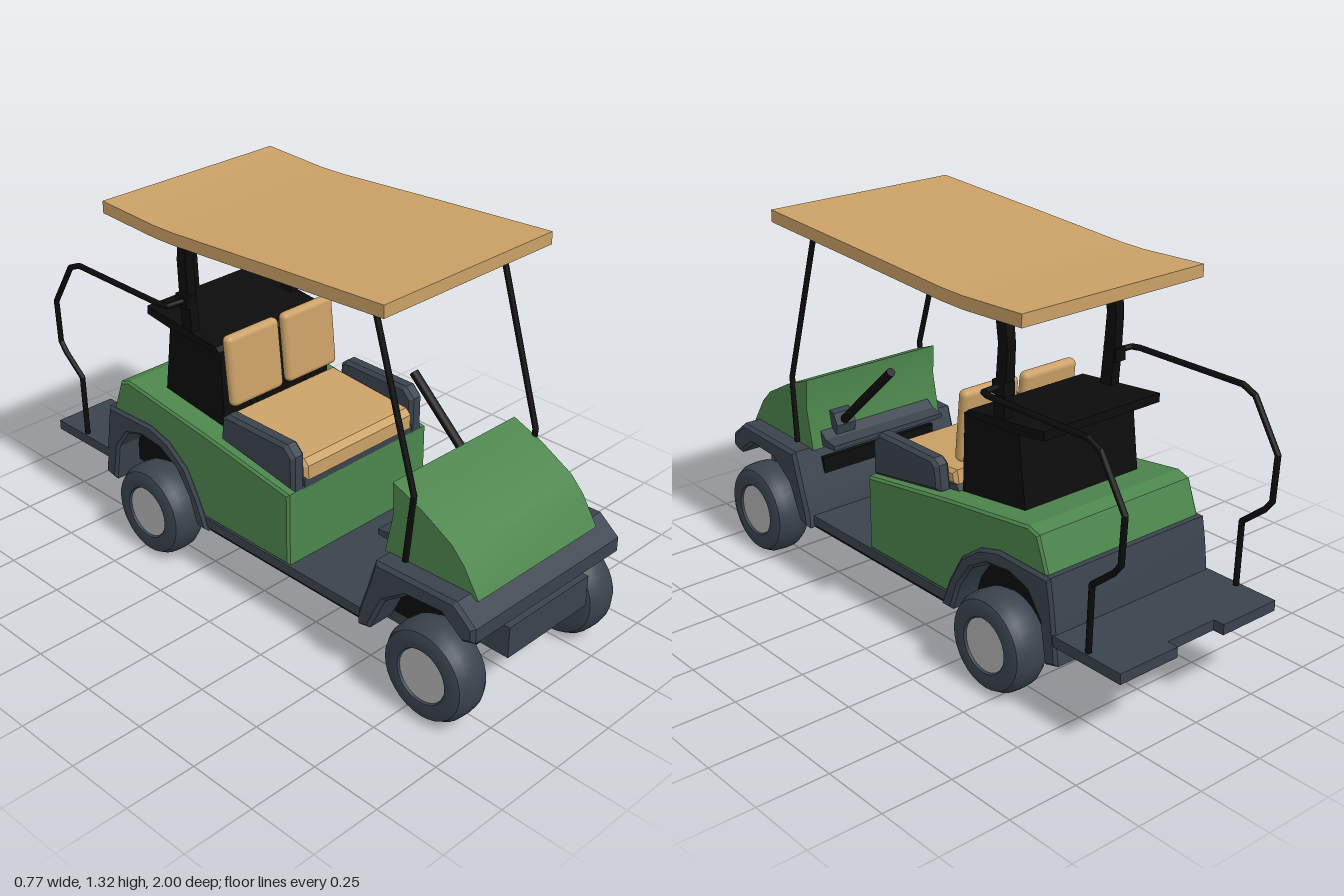
import * as THREE from 'three';
import { toCreasedNormals } from 'three/addons/utils/BufferGeometryUtils.js';
import { RoundedBoxGeometry } from 'three/addons/geometries/RoundedBoxGeometry.js';

const mat = (color) => new THREE.MeshStandardMaterial({ color });
const V = (x, y, z) => new THREE.Vector3(x, y, z);

export function createModel() {
  const model = new THREE.Group();
  const tan = mat(0xcaa066), green = mat(0x4c854c), dark = mat(0x3a434d);
  const black = mat(0x0c0c0c), metal = mat(0xb4b4b4);

  const add = (name, geometry, material, parent = model) => {
    const mesh = new THREE.Mesh(geometry, material);
    mesh.name = name;
    parent.add(mesh);
    return mesh;
  };
  // Side profile of [z, y] points, extruded across x from x0 to x1
  const profile = (name, pts, x0, x1, material, bevel = 0) => {
    const shape = new THREE.Shape(pts.map(([z, y]) => new THREE.Vector2(z, y)));
    const g = new THREE.ExtrudeGeometry(shape, {
      depth: x1 - x0 - 2 * bevel, bevelEnabled: bevel > 0, bevelSize: bevel,
      bevelThickness: bevel, bevelOffset: -bevel, bevelSegments: 1,
    });
    g.rotateY(-Math.PI / 2).translate(x1 - bevel, 0, 0);
    return add(name, toCreasedNormals(g, 0.35), material);
  };
  const box = (name, x0, x1, y0, y1, z0, z1, material) => {
    const g = new THREE.BoxGeometry(x1 - x0, y1 - y0, z1 - z0);
    g.translate((x0 + x1) / 2, (y0 + y1) / 2, (z0 + z1) / 2);
    return add(name, g, material);
  };
  // Round bar through points, with corners kept fairly tight
  const bar = (name, pts, r, material) => {
    const path = new THREE.CurvePath();
    for (let i = 1; i < pts.length; i++) path.add(new THREE.LineCurve3(pts[i - 1], pts[i]));
    pts.slice(1).forEach((b, i) => {
      const a = pts[i], d = b.clone().sub(a);
      const g = new THREE.CylinderGeometry(r, r, d.length(), 10);
      g.applyQuaternion(new THREE.Quaternion().setFromUnitVectors(V(0, 1, 0), d.clone().normalize()));
      g.translate((a.x + b.x) / 2, (a.y + b.y) / 2, (a.z + b.z) / 2);
      add(name, g, material);
      if (i > 0) add(name + 'Joint', new THREE.SphereGeometry(r, 10, 6).translate(a.x, a.y, a.z), material);
    });
  };

  // Wheels: lathed tyre with a recessed hub disc
  const tyrePts = [[0.088, -0.055], [0.095, -0.066], [0.125, -0.07], [0.15, -0.06], [0.164, -0.035],
    [0.167, 0], [0.164, 0.035], [0.15, 0.06], [0.125, 0.07], [0.095, 0.066], [0.088, 0.055]];
  const tyreGeo = toCreasedNormals(
    new THREE.LatheGeometry(tyrePts.map((p) => new THREE.Vector2(...p)), 32), 0.6).rotateZ(-Math.PI / 2);
  const hubGeo = new THREE.CylinderGeometry(0.092, 0.092, 0.118, 32).rotateZ(Math.PI / 2);
  for (const z of [0.825, -0.455]) {
    for (const s of [-1, 1]) {
      const wheel = new THREE.Group();
      wheel.name = (z > 0 ? 'front' : 'rear') + (s > 0 ? 'Left' : 'Right') + 'Wheel';
      wheel.position.set(s * 0.315, 0.168, z);
      add('tyre', tyreGeo, dark, wheel);
      add('hub', hubGeo, metal, wheel);
      model.add(wheel);
    }
    bar('axle', [V(-0.28, 0.18, z), V(0.28, 0.18, z)], 0.02, black);
  }

  // Floor and chassis
  box('floor', -0.325, 0.325, 0.2, 0.235, -0.22, 0.55, dark);
  box('underbody', -0.315, 0.315, 0.185, 0.2, -0.22, 0.55, black);
  box('frontChassis', -0.245, 0.245, 0.22, 0.42, 0.57, 0.78, black);
  box('frontCrossbar', -0.245, 0.245, 0.18, 0.22, 0.53, 0.78, dark);
  box('rearChassis', -0.24, 0.24, 0.24, 0.45, -0.66, -0.2, black);
  box('frontBumper', -0.19, 0.19, 0.23, 0.34, 0.78, 1.0, dark);

  // Front fender band, wrapping over both wheels and the nose
  profile('frontFender', [[0.995, 0.36], [0.995, 0.41], [0.92, 0.47], [0.6, 0.46], [0.57, 0.36], [0.53, 0.24],
    [0.53, 0.19], [0.58, 0.2], [0.64, 0.33], [0.73, 0.395], [0.87, 0.405], [0.95, 0.345]], -0.353, 0.353, dark, 0.012);
  // Front cowl
  profile('cowl', [[0.95, 0.455], [0.89, 0.55], [0.84, 0.6], [0.72, 0.665], [0.605, 0.71], [0.61, 0.6],
    [0.58, 0.455]], -0.282, 0.282, green);
  profile('dashShelf', [[0.6, 0.46], [0.51, 0.465], [0.51, 0.482], [0.56, 0.49], [0.6, 0.52]], -0.24, 0.24, dark);
  profile('columnBase', [[0.62, 0.47], [0.57, 0.48], [0.56, 0.53], [0.58, 0.57], [0.62, 0.58]], 0.11, 0.19, dark);

  // Rear body, arch cut out, and its fender
  profile('rearBody', [[0.2, 0.235], [0.2, 0.5], [-0.2, 0.56], [-0.59, 0.61], [-0.635, 0.595], [-0.68, 0.47],
    [-0.5, 0.46], [-0.4, 0.44], [-0.3, 0.385], [-0.24, 0.28], [-0.21, 0.235]], -0.325, 0.325, green, 0.008);
  profile('rearFender', [[-0.19, 0.19], [-0.23, 0.29], [-0.29, 0.395], [-0.38, 0.46], [-0.47, 0.485],
    [-0.695, 0.48], [-0.71, 0.4], [-0.735, 0.2], [-0.68, 0.185], [-0.655, 0.33], [-0.6, 0.405], [-0.52, 0.43],
    [-0.42, 0.42], [-0.34, 0.375], [-0.28, 0.29], [-0.245, 0.19]], -0.337, 0.337, dark, 0.01);

  // Rear deck with a notch in its trailing edge
  const deck = new THREE.Shape([[-0.335, 0.7], [0.335, 0.7], [0.335, 1], [0.1, 1], [0.1, 0.96], [-0.1, 0.96],
    [-0.1, 1], [-0.335, 1]].map((p) => new THREE.Vector2(...p)));
  add('rearDeck', new THREE.ExtrudeGeometry(deck, { depth: 0.036, bevelEnabled: false })
    .rotateX(-Math.PI / 2).translate(0, 0.265, 0), dark);

  // Seat: cushion, armrests and two backrests
  profile('seatBase', [[0.2, 0.49], [0.2, 0.53], [-0.17, 0.575], [-0.19, 0.55]], -0.25, 0.25, dark);
  profile('seatCushion', [[0.205, 0.525], [0.205, 0.575], [0.185, 0.595], [-0.16, 0.62], [-0.17, 0.57]],
    -0.25, 0.25, tan, 0.012);
  for (const s of [-1, 1]) {
    profile('armrest', [[0.2, 0.5], [0.2, 0.625], [0.165, 0.66], [-0.11, 0.66], [-0.135, 0.64], [-0.145, 0.555]],
      s * 0.275 - 0.028, s * 0.275 + 0.028, dark, 0.012);
    const back = add('backrest', new RoundedBoxGeometry(0.228, 0.25, 0.042, 3, 0.02), tan);
    back.position.set(s * 0.125, 0.77, -0.17);
    back.rotation.x = -0.1;
    bar('backrestBracket', [V(s * 0.125, 0.58, -0.165), V(s * 0.125, 0.7, -0.185)], 0.012, black);
  }

  // Black rear housing and the tray on top of it
  profile('rearHousing', [[-0.19, 0.555], [-0.2, 0.83], [-0.45, 0.86], [-0.485, 0.59]], -0.24, 0.24, black);
  profile('rearTray', [[-0.2, 0.825], [-0.22, 0.845], [-0.565, 0.88], [-0.565, 0.85], [-0.42, 0.83]],
    -0.243, 0.243, black);

  for (const s of [-1, 1]) {
    // Curved roof pillars
    profile('rearPillar', [[-0.335, 0.84], [-0.35, 1.0], [-0.358, 1.1], [-0.345, 1.19], [-0.32, 1.25],
      [-0.365, 1.25], [-0.39, 1.19], [-0.4, 1.1], [-0.395, 0.98], [-0.385, 0.84]],
    s * 0.225 - 0.017, s * 0.225 + 0.017, black);
    // Front roof struts
    bar('frontStrut', [V(s * 0.283, 1.285, 0.51), V(s * 0.283, 0.7, 0.69), V(s * 0.288, 0.465, 0.668)], 0.01, black);
    // Grab rails down to the rear deck
    const rail = [[0.965, -0.4], [0.967, -0.83], [0.945, -0.88], [0.785, -0.98], [0.63, -0.972],
      [0.595, -0.945], [0.525, -0.86], [0.29, -0.853]].map(([y, z]) => V(s * 0.32, y, z));
    bar('grabRail', [V(s * 0.23, 0.965, -0.365), V(s * 0.31, 0.965, -0.372), ...rail], 0.01, black);
    box('railClamp', s * 0.232 - 0.022, s * 0.232 + 0.022, 0.94, 0.985, -0.4, -0.345, black);
  }

  // Steering column and wheel
  bar('steeringColumn', [V(0.152, 0.53, 0.585), V(0.152, 0.8, 0.29)], 0.016, black);
  const steering = new THREE.Group();
  steering.name = 'steeringWheel';
  steering.position.set(0.152, 0.817, 0.267);
  steering.quaternion.setFromUnitVectors(V(0, 0, 1), V(0, 0.64, -0.77).normalize());
  add('rim', new THREE.TorusGeometry(0.094, 0.014, 10, 32), dark, steering);
  add('hub', new THREE.CylinderGeometry(0.03, 0.024, 0.05, 16).rotateX(Math.PI / 2).translate(0, 0, -0.015),
    dark, steering);
  for (let i = 0; i < 3; i++) {
    const spoke = add('spoke', new THREE.BoxGeometry(0.09, 0.03, 0.012).translate(0.05, 0, 0), dark, steering);
    spoke.rotation.z = Math.PI / 2 + i * Math.PI * 2 / 3;
  }

  // Roof: bent panel with a downturned rim, open below
  const top = [[0.635, 1.325], [0.2, 1.3], [-0.25, 1.272], [-0.35, 1.27], [-0.605, 1.28]];
  const strip = (h) => [...top, ...top.map(([z, y]) => [z, y - h]).reverse()];
  profile('roofPanel', strip(0.014), -0.37, 0.37, tan);
  for (const s of [-1, 1]) profile('roofSideRim', strip(0.042), s * 0.362 - 0.008, s * 0.362 + 0.008, tan);
  box('roofFrontRim', -0.37, 0.37, 1.283, 1.322, 0.619, 0.635, tan);
  box('roofRearRim', -0.37, 0.37, 1.238, 1.278, -0.605, -0.589, tan);
  return model;
}
